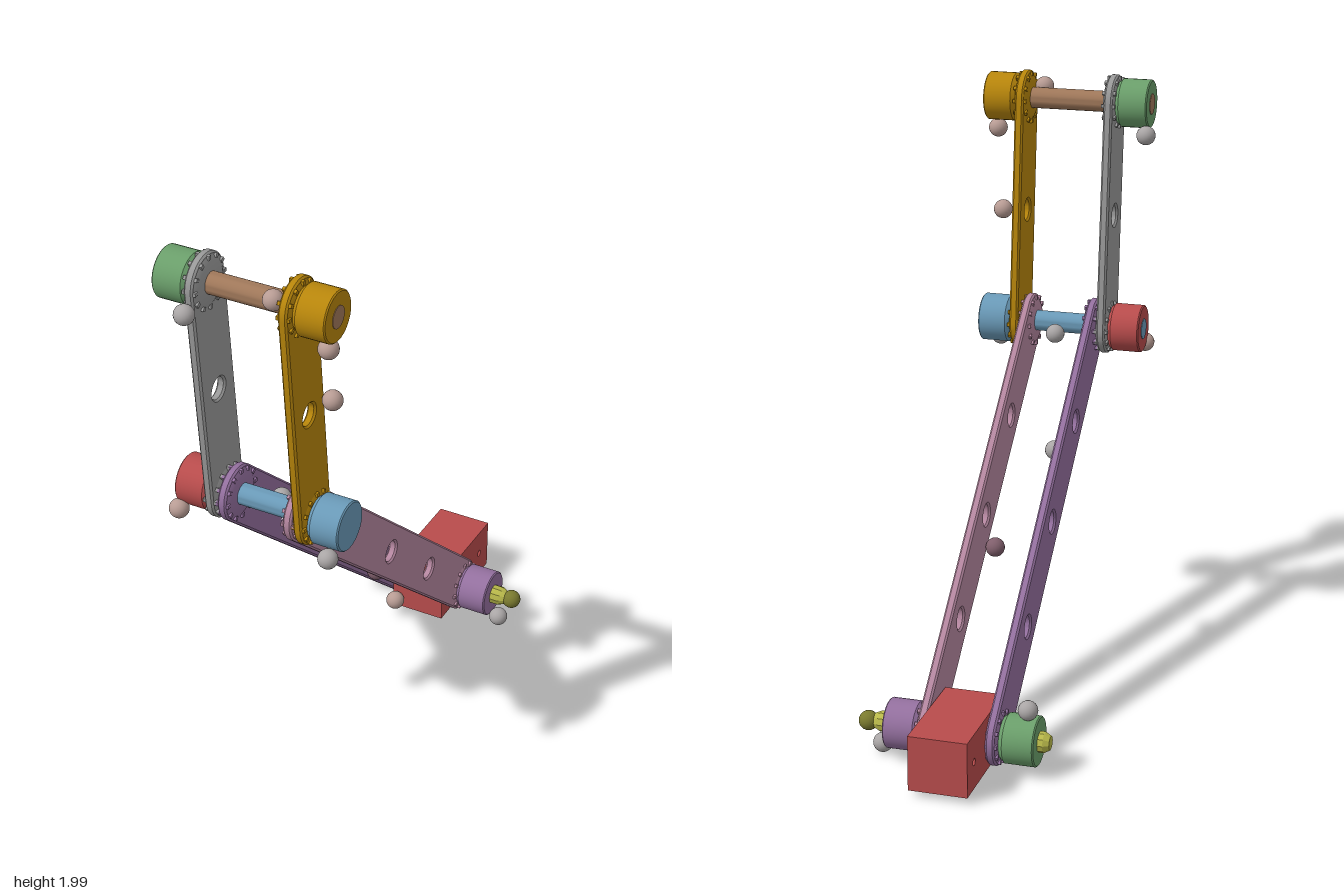
import * as THREE from 'three';
import { toCreasedNormals } from 'three/addons/utils/BufferGeometryUtils.js';

const COLORS = {
  red: 0xb84c4c, green: 0x6b9f6b, gold: 0xb8860b, grey: 0x999999, blue: 0x6a9ab8,
  brown: 0xa0785a, pink: 0xb587a0, purple: 0x94709f, yellow: 0xb8b84a, olive: 0x7a7a2f,
  pearl: 0xaaa6a6, blush: 0xb89c94, mauve: 0x805f6c,
};

// Joint axes in the (z, y) plane
const BASE = [-0.545, 0.12], ELBOW = [0.595, 1.148], TOP = [0.66, 1.91];

export function createModel() {
  const model = new THREE.Group();
  const materials = {};
  const mat = (c) => (materials[c] ??= new THREE.MeshStandardMaterial({ color: COLORS[c] }));

  function add(name, geometry, color, parent = model) {
    const mesh = new THREE.Mesh(geometry, mat(color));
    mesh.name = name;
    parent.add(mesh);
    return mesh;
  }

  // Solid turned around the x axis; profile is a list of [x, radius] with x increasing
  function turned(name, profile, [z, y], color, segments = 32, parent = model) {
    const pts = [[profile[0][0], 0], ...profile, [profile.at(-1)[0], 0]];
    const g = new THREE.LatheGeometry(pts.map(([x, r]) => new THREE.Vector2(r, x)), segments);
    g.rotateZ(-Math.PI / 2);
    const mesh = add(name, toCreasedNormals(g, 0.5), color, parent);
    mesh.position.set(0, y, z);
    return mesh;
  }

  // Flat bar with round ends, a row of holes and serrated collars at both joints
  function link(name, a, b, x0, x1, holes, color) {
    const group = new THREE.Group();
    group.name = name;
    model.add(group);
    const half = 0.086, bevel = 0.006;
    const dir = Math.atan2(b[1] - a[1], b[0] - a[0]);
    const shape = new THREE.Shape();
    shape.absarc(b[0], b[1], half, dir - Math.PI / 2, dir + Math.PI / 2, false);
    shape.absarc(a[0], a[1], half, dir + Math.PI / 2, dir + Math.PI * 1.5, false);
    for (let i = 1; i <= holes; i++) {
      const t = i / (holes + 1);
      const hole = new THREE.Path();
      hole.absarc(a[0] + (b[0] - a[0]) * t, a[1] + (b[1] - a[1]) * t, 0.042, 0, Math.PI * 2, true);
      shape.holes.push(hole);
    }
    const g = new THREE.ExtrudeGeometry(shape, {
      depth: x1 - x0 - 2 * bevel, bevelSize: bevel, bevelThickness: bevel, bevelSegments: 1, curveSegments: 16,
    });
    g.rotateY(-Math.PI / 2);
    g.translate(x1 - bevel, 0, 0);
    add(name + 'Bar', toCreasedNormals(g, 0.5), color, group);

    for (const end of [a, b]) {
      turned('collar', [[x0 - 0.008, 0.066], [x0, 0.082], [x1, 0.082], [x1 + 0.008, 0.066]], end, color, 24, group);
      // Small teeth around the collar
      for (let i = 0; i < 12; i++) {
        const t = (i / 12) * Math.PI * 2;
        const tooth = add('tooth', new THREE.BoxGeometry(x1 - x0 + 0.016, 0.012, 0.014), color, group);
        tooth.position.set((x0 + x1) / 2, end[1] + 0.08 * Math.sin(t), end[0] + 0.08 * Math.cos(t));
        tooth.rotation.x = -t;
      }
    }
  }

  // Round knob; inner is the chamfered face towards the link, outer the free face
  function knob(name, inner, outer, joint, color) {
    const s = Math.sign(outer - inner);
    const profile = [[inner, 0.062], [inner + s * 0.022, 0.081], [outer - s * 0.004, 0.081], [outer, 0.077]];
    turned(name, s > 0 ? profile : profile.reverse(), joint, color);
  }

  // Base block with a small cross hole
  const outline = new THREE.Shape();
  outline.moveTo(-0.81, 0.03);
  outline.lineTo(-0.433, 0.03);
  outline.lineTo(-0.433, 0.212);
  outline.lineTo(-0.81, 0.212);
  outline.closePath();
  const pin = new THREE.Path();
  pin.absarc(-0.74, 0.12, 0.012, 0, Math.PI * 2, true);
  outline.holes.push(pin);
  const block = new THREE.ExtrudeGeometry(outline, { depth: 0.192, bevelEnabled: false, curveSegments: 6 });
  block.rotateY(-Math.PI / 2);
  block.translate(0.077, 0, 0);
  add('baseBlock', toCreasedNormals(block, 0.6), 'red');

  // Links
  link('lowerLinkLeft', BASE, ELBOW, 0.08, 0.11, 3, 'pink');
  link('lowerLinkRight', BASE, ELBOW, -0.146, -0.116, 3, 'purple');
  link('upperLinkLeft', ELBOW, TOP, 0.117, 0.147, 1, 'gold');
  link('upperLinkRight', ELBOW, TOP, -0.19, -0.16, 1, 'grey');

  // Axles
  turned('topRod', [[-0.306, 0.035], [0.264, 0.035]], TOP, 'brown');
  turned('elbowRod', [[-0.306, 0.035], [0.26, 0.035]], ELBOW, 'blue');
  turned('baseBolt', [[-0.304, 0.023], [-0.285, 0.034], [0.255, 0.034], [0.278, 0.023]], BASE, 'yellow', 10);

  // Knobs
  knob('topKnobLeft', 0.145, 0.262, TOP, 'gold');
  knob('topKnobRight', -0.185, -0.304, TOP, 'green');
  knob('elbowKnobLeft', 0.145, 0.262, ELBOW, 'blue');
  knob('elbowKnobRight', -0.185, -0.304, ELBOW, 'red');
  knob('baseKnobLeft', 0.105, 0.227, BASE, 'purple');
  knob('baseKnobRight', -0.145, -0.268, BASE, 'green');

  // Marker balls: x, y, z, colour
  const balls = [
    [-0.3, 1.815, 0.6, 'pearl'], [-0.172, 1.86, 0.78, 'pearl'], [0.082, 1.942, 0.71, 'blush'],
    [0.233, 1.8, 0.665, 'blush'], [0.18, 1.545, 0.547, 'blush'], [-0.293, 1.08, 0.67, 'blush'],
    [-0.01, 1.125, 0.53, 'pearl'], [0.225, 1.063, 0.668, 'pearl'], [-0.088, 0.803, 0.252, 'pearl'],
    [0.047, 0.528, 0.013, 'mauve'], [-0.235, 0.23, -0.563, 'pearl'], [-0.093, 0.074, -0.403, 'blush'],
    [0.297, 0.119, -0.548, 'olive'], [0.256, 0.04, -0.53, 'pearl'],
  ];
  const ballGeometry = new THREE.SphereGeometry(0.032, 20, 14);
  for (const [x, y, z, color] of balls) add('markerBall', ballGeometry, color).position.set(x, y, z);

  return model;
}
